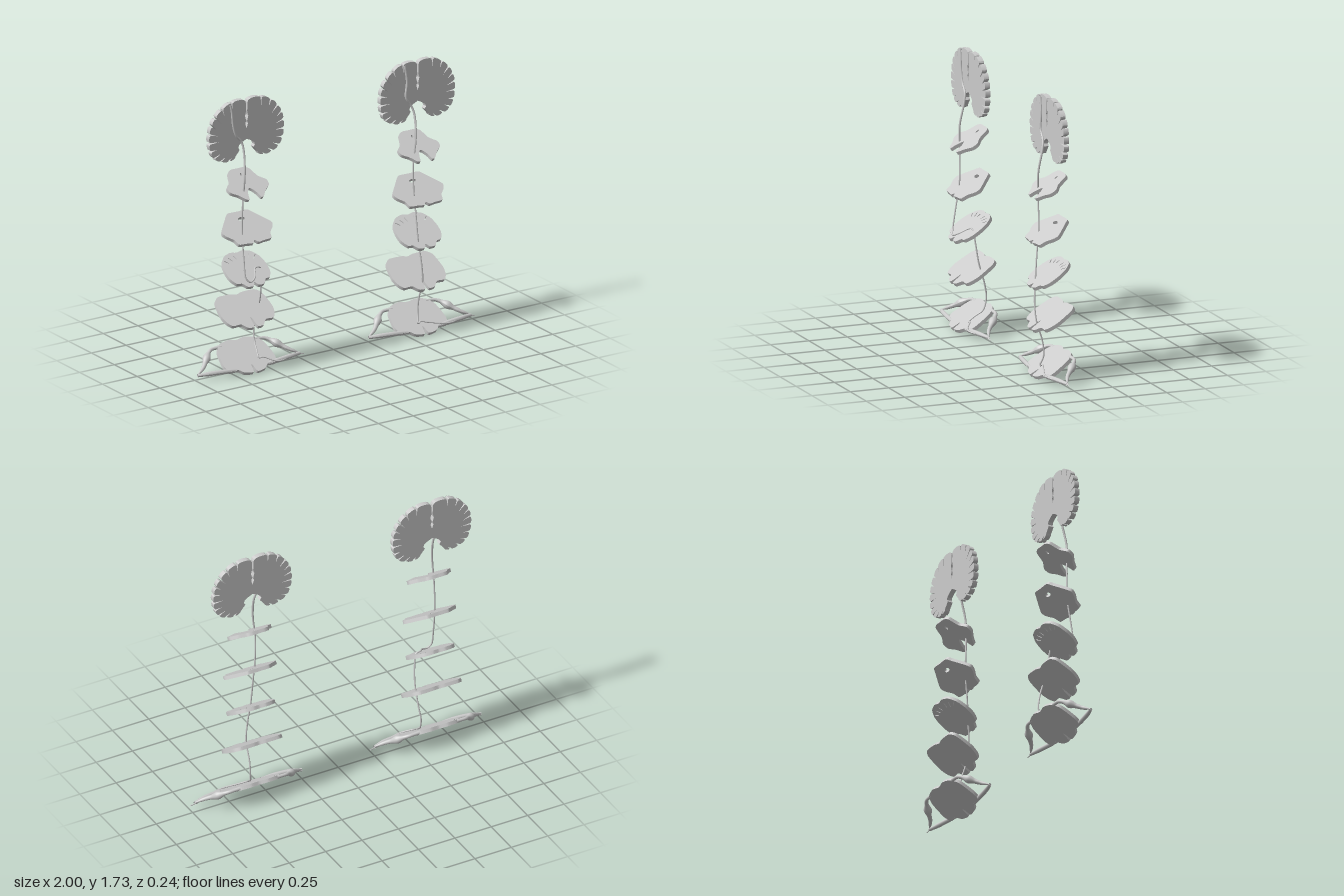
import * as THREE from 'three';

const grey = new THREE.MeshStandardMaterial({ color: 0xcccccc, side: THREE.DoubleSide });
const V2 = (x, y) => new THREE.Vector2(x, y);
const TILT = THREE.MathUtils.degToRad(-57);

function mesh(name, geometry) {
  const m = new THREE.Mesh(geometry, grey);
  m.name = name;
  return m;
}

// Closed outline from its right half, listed from back middle to front middle
function mirrored(half) {
  return [...half, ...half.filter(([x]) => x > 0).reverse().map(([x, y]) => [-x, y])].map(([x, y]) => V2(x, y));
}

function ellipseHole(x, y, rx, ry, turn = 0) {
  const path = new THREE.Path();
  path.absellipse(x, y, rx, ry, 0, Math.PI * 2, true, turn);
  return path;
}

// Tilted flat section: smooth outline, extruded about its middle plane
function section({ name, y, half, holes = [] }) {
  const curve = new THREE.CatmullRomCurve3(
    mirrored(half).map(p => new THREE.Vector3(p.x, p.y, 0)), true, 'catmullrom', 0.35);
  const shape = new THREE.Shape(curve.getPoints(120).slice(0, -1).map(p => V2(p.x, p.y)));
  shape.holes = holes;
  const g = new THREE.ExtrudeGeometry(shape, { depth: 0.022, bevelEnabled: false, curveSegments: 10 });
  g.translate(0, 0, -0.011).rotateX(TILT).translate(0, y, -0.004);
  return mesh(name, g);
}

// Tube whose radius follows a list of values along its length
function taperedTube(name, points, radii, segments = 40, sides = 12) {
  const curve = new THREE.CatmullRomCurve3(points.map(p => new THREE.Vector3(...p)));
  const g = new THREE.TubeGeometry(curve, segments, 1, sides);
  const pos = g.attributes.position, v = new THREE.Vector3();
  for (let i = 0; i <= segments; i++) {
    const t = (i / segments) * (radii.length - 1);
    const k = Math.min(Math.floor(t), radii.length - 2);
    const r = THREE.MathUtils.lerp(radii[k], radii[k + 1], THREE.MathUtils.smoothstep(t - k, 0, 1));
    const c = curve.getPointAt(i / segments);
    for (let j = 0; j <= sides; j++) {
      const n = i * (sides + 1) + j;
      v.fromBufferAttribute(pos, n).sub(c).multiplyScalar(r).add(c);
      pos.setXYZ(n, v.x, v.y, v.z);
    }
  }
  g.computeVertexNormals();
  return mesh(name, g);
}

// Upright brain section: bulging folds separated by narrow slits
function cortex() {
  const folds = [[0.012, 1.728], [0.105, 1.728], [0.172, 1.697], [0.218, 1.652], [0.246, 1.606], [0.258, 1.555],
    [0.26, 1.5], [0.25, 1.448], [0.228, 1.402], [0.18, 1.376], [0.125, 1.366], [0.08, 1.385]];
  const depth = [0, 0.05, 0.04, 0.055, 0.035, 0.05, 0.06, 0.035, 0.045, 0.03, 0.02, 0];
  const middle = V2(0.06, 1.54);
  const half = [[0, 1.55], [0.01, 1.58], [0.004, 1.6], [0.012, 1.63], [0.004, 1.66], [0.006, 1.715]];
  folds.forEach(([x, y], i) => {
    const p = V2(x, y), inward = middle.clone().sub(p).normalize(), side = V2(-inward.y, inward.x);
    if (depth[i]) {
      const tip = p.clone().addScaledVector(inward, depth[i]).addScaledVector(side, 0.012);
      const a = p.clone().addScaledVector(side, -0.005), b = p.clone().addScaledVector(side, 0.005);
      const first = a.distanceTo(V2(...folds[i - 1])) < b.distanceTo(V2(...folds[i - 1])) ? a : b;
      const last = first === a ? b : a;
      half.push([first.x, first.y], [tip.x, tip.y], [last.x, last.y]);
    } else half.push([x, y]);
    if (i < folds.length - 1) {
      const q = V2(...folds[i + 1]), out = q.clone().sub(p);
      const normal = V2(-out.y, out.x).normalize();
      for (let s = 1; s < 8; s++) {
        const t = 0.06 + 0.88 * s / 8;
        const c = p.clone().lerp(q, t).addScaledVector(normal, 0.011 * Math.sqrt(Math.sin(Math.PI * t)));
        half.push([c.x, c.y]);
      }
    }
  });
  // Underside of the temporal lobe up to the central notch
  half.push([0.05, 1.42], [0.06, 1.435], [0.055, 1.45], [0.03, 1.468], [0, 1.482]);
  const shape = new THREE.Shape(mirrored(half));
  const g = new THREE.ExtrudeGeometry(shape, { depth: 0.033, bevelEnabled: false });
  return mesh('cortexSection', g.translate(0, 0, -0.022));
}

// Short radiating slits near the back of the medulla
const slits = [-0.1, -0.065, -0.03, 0.03, 0.065, 0.1].map(x =>
  ellipseHole(x, 0.09 - 2.2 * x * x, 0.003, 0.019, -x * 8));

const sections = [
  { name: 'midbrainSection', y: 1.192, holes: [ellipseHole(0, 0.06, 0.008, 0.013)],
    half: [[0, 0.112], [0.043, 0.112], [0.075, 0.095], [0.1, 0.03], [0.142, -0.01], [0.139, -0.05], [0.096, -0.085],
      [0.064, -0.122], [0.043, -0.127], [0.032, -0.09], [0.016, -0.06], [0, -0.045]] },
  { name: 'ponsSection', y: 0.915, holes: [ellipseHole(0, 0.055, 0.026, 0.013)],
    half: [[0, 0.113], [0.07, 0.113], [0.098, 0.085], [0.176, -0.007], [0.168, -0.045], [0.13, -0.085],
      [0.115, -0.125], [0.06, -0.13], [0.02, -0.135], [0, -0.115]] },
  { name: 'medullaSection', y: 0.645, holes: slits,
    half: [[0, 0.122], [0.043, 0.13], [0.096, 0.112], [0.133, 0.065], [0.147, 0.005], [0.144, -0.055],
      [0.118, -0.1], [0.085, -0.107], [0.058, -0.138], [0.02, -0.14], [0, -0.115]] },
  { name: 'upperCordSection', y: 0.38,
    half: [[0, 0.12], [0.043, 0.13], [0.128, 0.13], [0.165, 0.1], [0.178, 0.04], [0.183, -0.017], [0.171, -0.067],
      [0.144, -0.1], [0.09, -0.1], [0.055, -0.135], [0.014, -0.137], [0.006, -0.08], [0, -0.06]] },
  { name: 'lowerCordSection', y: 0.088,
    half: [[0, 0.122], [0.06, 0.133], [0.128, 0.115], [0.165, 0.07], [0.178, 0.01], [0.183, -0.05], [0.165, -0.092],
      [0.107, -0.095], [0.075, -0.122], [0.016, -0.132], [0.006, -0.09], [0, -0.072]] },
];

// Nerve fibre routes, one for each column
const crossingRoute = [[0.398, 0.037, 0.03], [0.34, 0.045, 0.035], [0.174, 0.05, 0.085], [0.094, 0.08, 0.04],
  [0.07, 0.075, 0.04], [0.08, 0.11, 0], [0.095, 0.145, -0.045], [0.1, 0.22, -0.065], [0.11, 0.31, -0.05],
  [0.112, 0.45, -0.01], [0.104, 0.57, 0.008], [0.09, 0.645, 0.018], [0.055, 0.65, 0.022], [0.015, 0.615, 0.08],
  [-0.03, 0.597, 0.1], [-0.055, 0.62, 0.09], [-0.06, 0.73, 0.072], [-0.055, 0.92, 0.045], [-0.05, 1.1, 0.045],
  [-0.04, 1.27, 0.05], [-0.03, 1.41, 0.025], [-0.04, 1.47, 0.016], [-0.08, 1.52, 0.014], [-0.1, 1.59, 0.014],
  [-0.11, 1.68, 0.014], [-0.12, 1.725, 0.014]];
const directRoute = [[0.398, 0.037, 0.03], [0.34, 0.045, 0.035], [0.17, 0.05, 0.085], [0.05, 0.07, 0.055],
  [0, 0.08, 0.04], [-0.022, 0.07, 0.05], [-0.012, 0.13, 0.028], [-0.01, 0.22, 0.035], [-0.008, 0.35, 0.075],
  [-0.02, 0.46, 0.083], [-0.037, 0.62, 0.07], [-0.045, 0.8, 0.055], [-0.05, 0.92, 0.043], [-0.055, 1.1, 0.045],
  [-0.04, 1.27, 0.05], [-0.035, 1.41, 0.025], [-0.05, 1.46, 0.016], [-0.087, 1.52, 0.014], [-0.08, 1.62, 0.014],
  [-0.095, 1.725, 0.014]];

function column(name, x, route) {
  const group = new THREE.Group();
  group.name = name;
  group.add(cortex(), ...sections.map(section));
  // Paired nerve roots with the ganglion swelling on the back root
  for (const [side, s] of [['left', 1], ['right', -1]]) {
    const flip = pts => pts.map(([px, py, pz]) => [px * s, py, pz]);
    group.add(
      taperedTube(side + 'BackRoot', flip([[0.12, 0.145, -0.09], [0.19, 0.142, -0.088], [0.225, 0.128, -0.068],
        [0.26, 0.105, -0.038], [0.31, 0.075, 0.005], [0.365, 0.05, 0.03]]),
        [0.013, 0.01, 0.012, 0.025, 0.014, 0.011, 0.004]),
      taperedTube(side + 'FrontRoot', flip([[0.11, 0.04, 0.07], [0.2, 0.047, 0.064], [0.3, 0.049, 0.05],
        [0.368, 0.046, 0.032]]), [0.012, 0.014, 0.014, 0.01]));
  }
  group.add(taperedTube('nervePathway', route, [0.003, 0.005, 0.005, 0.005, 0.005, 0.007, 0.007], 220, 8));
  group.position.x = x;
  return group;
}

export function createModel() {
  const model = new THREE.Group();
  model.name = 'nervePathwayModel';
  model.add(column('crossingPathway', -0.633, crossingRoute), column('directPathway', 0.6, directRoute));
  return model;
}
